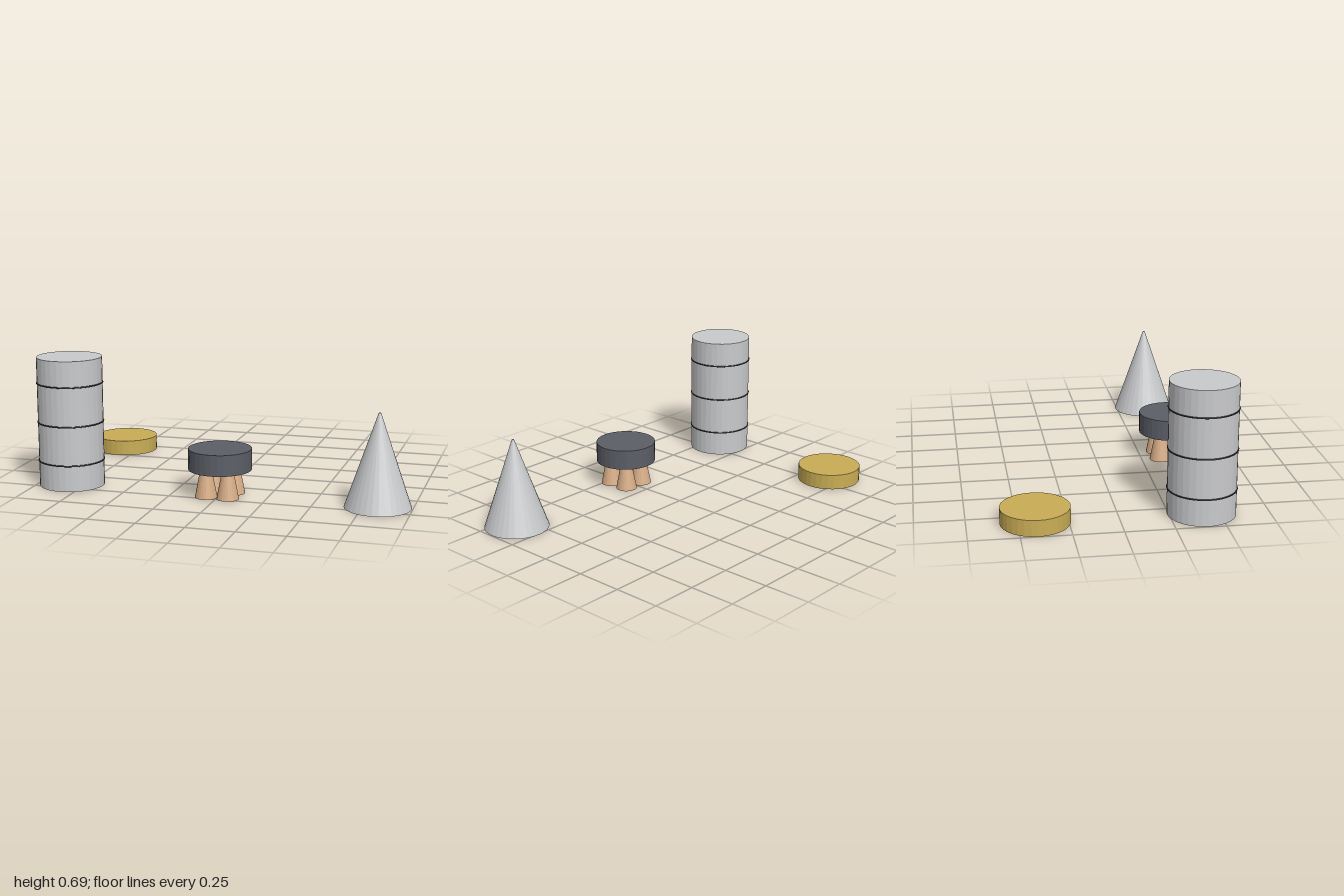
import * as THREE from 'three';

export function createModel() {
  const group = new THREE.Group();
  const material = (name, color) => {
    const m = new THREE.MeshStandardMaterial({ color, flatShading: true });
    m.name = name;
    return m;
  };
  const silver = material('silver', 0xc9cacc);
  const gold = material('gold', 0xc9ad55);
  const slate = material('slate', 0x5b5e66);
  const tan = material('tan', 0xd8ae88);
  const dark = material('dark', 0x2b2c2f);

  // Upright round part standing on height y
  const round = (name, parent, mat, rTop, rBottom, height, x, y, z, sides = 32) => {
    const mesh = new THREE.Mesh(new THREE.CylinderGeometry(rTop, rBottom, height, sides), mat);
    mesh.name = name;
    mesh.position.set(x, y + height / 2, z);
    parent.add(mesh);
  };
  const part = (name, x, z) => {
    const g = new THREE.Group();
    g.name = name;
    g.position.set(x, 0, z);
    group.add(g);
    return g;
  };

  // Tall drum with three thin hoops
  const drum = part('drum', -0.824, 0.412);
  round('drumBody', drum, silver, 0.172, 0.172, 0.69, 0, 0, 0);
  for (const y of [0.138, 0.345, 0.553]) {
    const hoop = new THREE.Mesh(new THREE.TorusGeometry(0.172, 0.004, 8, 48), dark);
    hoop.name = 'drumHoop';
    hoop.rotation.x = Math.PI / 2;
    hoop.position.y = y;
    drum.add(hoop);
  }

  // Stool: thick round seat on four flared legs
  const stool = part('stool', 0, 0.41);
  round('seat', stool, slate, 0.165, 0.165, 0.11, 0, 0.14, 0);
  for (const x of [-0.058, 0.058]) {
    for (const z of [-0.058, 0.058]) {
      round('leg', stool, tan, 0.031, 0.058, 0.14, x, 0, z, 24);
    }
  }

  // Cone with a tiny blunt tip
  const cone = part('cone', 0.825, 0.412);
  round('coneBody', cone, silver, 0.006, 0.171, 0.484, 0, 0, 0);

  // Low flat disc
  const disc = part('disc', -0.824, -0.413);
  round('discBody', disc, gold, 0.174, 0.174, 0.084, 0, 0, 0);

  return group;
}
